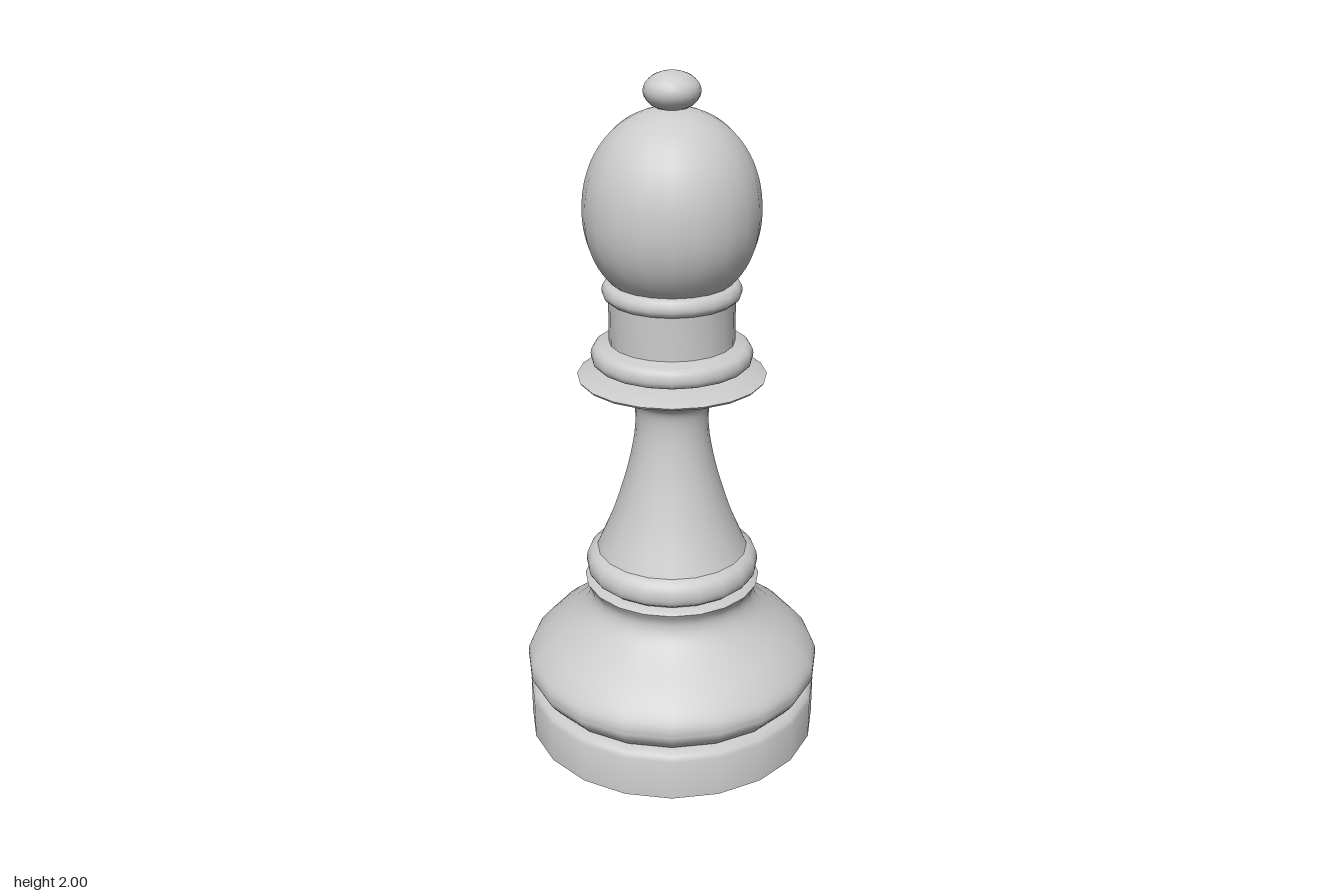
import * as THREE from 'three';
import { toCreasedNormals } from 'three/addons/utils/BufferGeometryUtils.js';

const SIDES = 20, PHASE = -0.045;
const material = new THREE.MeshStandardMaterial({ color: 0xcccccc });
const V = (x, y, z) => new THREE.Vector3(x, y, z);

// Turned solid from a profile of [radius, height] pairs, bottom to top
function turn(profile) {
  const points = profile.map(([r, y]) => new THREE.Vector2(r, y));
  return toCreasedNormals(new THREE.LatheGeometry(points, SIDES, PHASE), 0.7);
}

// Smooth curve through a few profile points
function smooth(profile, steps) {
  const curve = new THREE.SplineCurve(profile.map(([r, y]) => new THREE.Vector2(r, y)));
  return curve.getPoints(steps).map((p) => [p.x, p.y]);
}

// Ellipse arc profile; power above 2 gives a fuller curve
function dome(radius, centre, below, above, start, power, steps) {
  const list = [];
  for (let i = 0; i <= steps; i++) {
    const t = start + (Math.PI / 2 - start) * i / steps, s = Math.sin(t);
    const r = radius * Math.pow(Math.max(0, Math.cos(t)), 2 / power);
    const h = Math.sign(s) * Math.pow(Math.abs(s), 2 / power);
    list.push([i === steps ? 0 : r, centre + h * (s < 0 ? below : above)]);
  }
  return list;
}

// Part of a polygon on the side of a plane where n.p >= c
function clip(poly, n, c) {
  const out = [];
  poly.forEach((a, i) => {
    const b = poly[(i + 1) % poly.length];
    const da = n.dot(a.p) - c, db = n.dot(b.p) - c;
    if (da >= 0) out.push(a);
    if ((da >= 0) !== (db >= 0)) {
      const t = da / (da - db);
      out.push({ p: a.p.clone().lerp(b.p, t), n: a.n.clone().lerp(b.n, t).normalize() });
    }
  });
  return out;
}

// Geometry from convex polygons, each split as a fan
function fromPolygons(polys) {
  const pos = [], nor = [];
  for (const q of polys) {
    for (let i = 2; i < q.length; i++) {
      for (const k of [q[0], q[i - 1], q[i]]) {
        pos.push(...k.p.toArray());
        nor.push(...k.n.toArray());
      }
    }
  }
  const g = new THREE.BufferGeometry();
  g.setAttribute('position', new THREE.Float32BufferAttribute(pos, 3));
  g.setAttribute('normal', new THREE.Float32BufferAttribute(nor, 3));
  return g;
}

// Cut a slanting slot in the head; u points out of the slot, v across its thickness
function slottedHead(geometry) {
  const out = V(-0.55, 0, -0.835).normalize(), tilt = 0.4;
  const u = out.clone().multiplyScalar(Math.cos(tilt)).add(V(0, Math.sin(tilt), 0));
  const v = out.clone().multiplyScalar(-Math.sin(tilt)).add(V(0, Math.cos(tilt), 0));
  const w = u.clone().cross(v);
  const floor = 0.76, low = 1.54, high = 1.583;
  const cuts = [[u, floor], [v, low], [v.clone().negate(), -high]];

  const P = geometry.attributes.position, N = geometry.attributes.normal;
  const shell = [], planes = [];
  for (let i = 0; i < P.count; i += 3) {
    let rest = [0, 1, 2].map((k) => ({
      p: V().fromBufferAttribute(P, i + k), n: V().fromBufferAttribute(N, i + k),
    }));
    const [a, b, c] = rest.map((k) => k.p);
    const n = b.clone().sub(a).cross(c.clone().sub(a));
    if (n.length() < 1e-9) continue;
    n.normalize().negate();
    planes.push([n, n.dot(a)]);
    // keep what lies outside each cutting plane, pass the remainder on
    for (const [m, d] of cuts) {
      shell.push(clip(rest, m.clone().negate(), -d));
      rest = clip(rest, m, d);
    }
  }

  // slot walls: large rectangles trimmed to the convex head
  const wall = (cu, cv, a, b) => {
    const centre = u.clone().multiplyScalar(cu).addScaledVector(v, cv);
    const n = a.clone().cross(b).normalize();
    const quad = [[-1, -1], [1, -1], [1, 1], [-1, 1]].map(([s, t]) => ({
      p: centre.clone().addScaledVector(a, s).addScaledVector(b, t), n: n.clone(),
    }));
    return planes.reduce((poly, [m, d]) => clip(poly, m, d - 1e-6), quad);
  };
  const mid = (low + high) / 2, half = v.clone().multiplyScalar((high - low) / 2);
  const deep = u.clone().multiplyScalar(0.3);
  const walls = [
    wall(floor + 0.3, low, w, deep),
    wall(floor + 0.3, high, deep, w),
    wall(floor, mid, half, w),
  ];
  return [fromPolygons(shell), fromPolygons(walls)];
}

export function createModel() {
  const group = new THREE.Group();
  const add = (name, geometry) => {
    const mesh = new THREE.Mesh(geometry, material);
    mesh.name = name;
    group.add(mesh);
  };

  // Foot and swelling base
  add('plinth', turn([[0, 0], [0.441, 0], [0.441, 0.125], [0.435, 0.14], [0.42, 0.15], [0.38, 0.152]]));
  add('base', turn([
    [0.38, 0.152],
    ...smooth([[0.41, 0.155], [0.438, 0.19], [0.446, 0.22], [0.436, 0.255], [0.387, 0.31],
      [0.297, 0.38], [0.256, 0.425], [0.246, 0.465], [0.262, 0.5]], 28),
    [0.25, 0.51], [0.2, 0.512],
  ]));
  add('baseRing', turn([
    [0.2, 0.51],
    ...smooth([[0.235, 0.514], [0.253, 0.53], [0.257, 0.557], [0.248, 0.583], [0.225, 0.6]], 10),
    [0.2, 0.602],
  ]));

  // Stem flaring into the wide collar
  add('stem', turn(smooth([[0.224, 0.6], [0.175, 0.715], [0.135, 0.84], [0.112, 0.945], [0.106, 1.02],
    [0.116, 1.068], [0.15, 1.092], [0.21, 1.118], [0.266, 1.142]], 28)));
  add('collar', turn([[0.266, 1.142], [0.271, 1.149], [0.255, 1.156], [0.21, 1.168], [0.17, 1.175]]));
  add('collarRing', turn([
    [0.17, 1.174],
    ...smooth([[0.2, 1.178], [0.225, 1.19], [0.231, 1.212], [0.222, 1.235], [0.2, 1.243]], 10),
    [0.17, 1.252],
  ]));

  // Neck and its upper ring
  add('neck', turn([[0.179, 1.24], [0.179, 1.385]]));
  add('neckRing', turn([
    [0.17, 1.373],
    ...smooth([[0.182, 1.375], [0.194, 1.386], [0.197, 1.402], [0.19, 1.42], [0.178, 1.426]], 8),
    [0.15, 1.428],
  ]));

  // Egg-shaped head with its slot, and the knob on top
  const [shell, walls] = slottedHead(turn(dome(0.247, 1.62, 0.26, 0.285, -0.83, 2.1, 24)));
  add('head', shell);
  add('slot', walls);
  add('knob', turn(dome(0.078, 1.947, 0.053, 0.053, -1.4, 2, 16)));
  return group;
}
